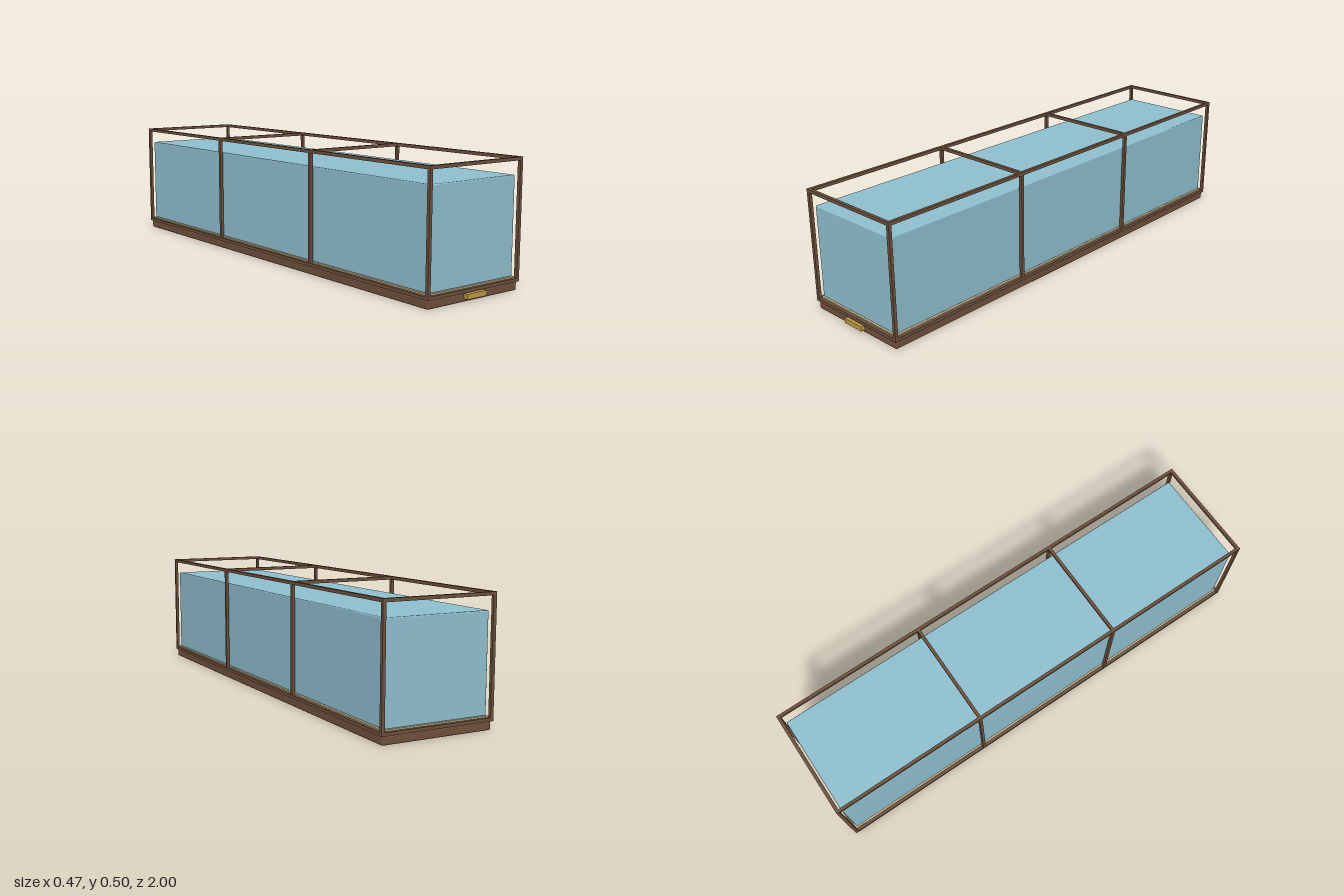
import * as THREE from 'three';
import { RoundedBoxGeometry } from 'three/addons/geometries/RoundedBoxGeometry.js';
import { mergeVertices } from 'three/addons/utils/BufferGeometryUtils.js';

const mat = (name, color) => {
  const m = new THREE.MeshStandardMaterial({ color });
  m.name = name;
  return m;
};

// Rounded block whose faces blend softly into the narrow edges
function softBlock(w, h, d, r) {
  const g = new RoundedBoxGeometry(w, h, d, 2, r);
  g.deleteAttribute('normal');
  g.deleteAttribute('uv');
  const merged = mergeVertices(g, 1e-4);
  merged.computeVertexNormals();
  return merged;
}

export function createModel() {
  const model = new THREE.Group();
  model.name = 'displayTank';
  const frameWood = mat('frame brown', 0x6d513c);
  const baseWood = mat('base brown', 0x70503c);
  const water = mat('water blue', 0x8fbfcf);
  const sand = mat('sand tan', 0xd3bf98);
  const brass = mat('brass', 0xc09a45);

  const add = (name, geo, material, x, y, z, parent = model) => {
    const m = new THREE.Mesh(geo, material);
    m.name = name;
    m.position.set(x, y, z);
    parent.add(m);
  };

  const zc = -0.005;             // the plate sticks out in front of the tank
  const W = 0.472, L = 1.99;     // outer size of the frame
  const y0 = 0.034, y1 = 0.5, t = 0.013;

  // Plinth, sand bed and water
  add('base', new RoundedBoxGeometry(0.46, 0.034, 1.978, 2, 0.006), baseWood, 0, 0.017, zc);
  add('sandBed', new THREE.BoxGeometry(0.446, 0.018, 1.964), sand, 0, 0.043, zc);
  add('waterBlock', softBlock(0.434, 0.381, 1.954, 0.005), water, 0, 0.2425, zc);

  // Frame: long rails, cross rails and posts
  const frame = new THREE.Group();
  frame.name = 'frame';
  model.add(frame);
  const xs = (W - t) / 2, zs = (L - t) / 2;
  const bar = (name, w, h, d, x, y, z) =>
    add(name, new THREE.BoxGeometry(w, h, d), frameWood, x, y, z + zc, frame);

  for (const y of [y0 + t / 2, y1 - t / 2]) {
    for (const s of [-1, 1]) {
      bar('longRail', t, t, L, s * xs, y, 0);
      bar('endRail', W - 2 * t, t, t, 0, y, s * zs);
    }
  }
  for (const f of [-1, -1 / 3, 1 / 3, 1]) {
    for (const s of [-1, 1]) {
      bar('post', t, y1 - y0 - 2 * t, t, s * xs, (y0 + y1) / 2, f * zs);
    }
    if (Math.abs(f) < 1) bar('crossBar', W - 2 * t, t, t, 0, y1 - t / 2, f * zs);
  }

  // Blank brass plate on the front of the plinth
  add('plate', new THREE.BoxGeometry(0.1, 0.02, 0.018), brass, 0, 0.021, 0.991);
  return model;
}
